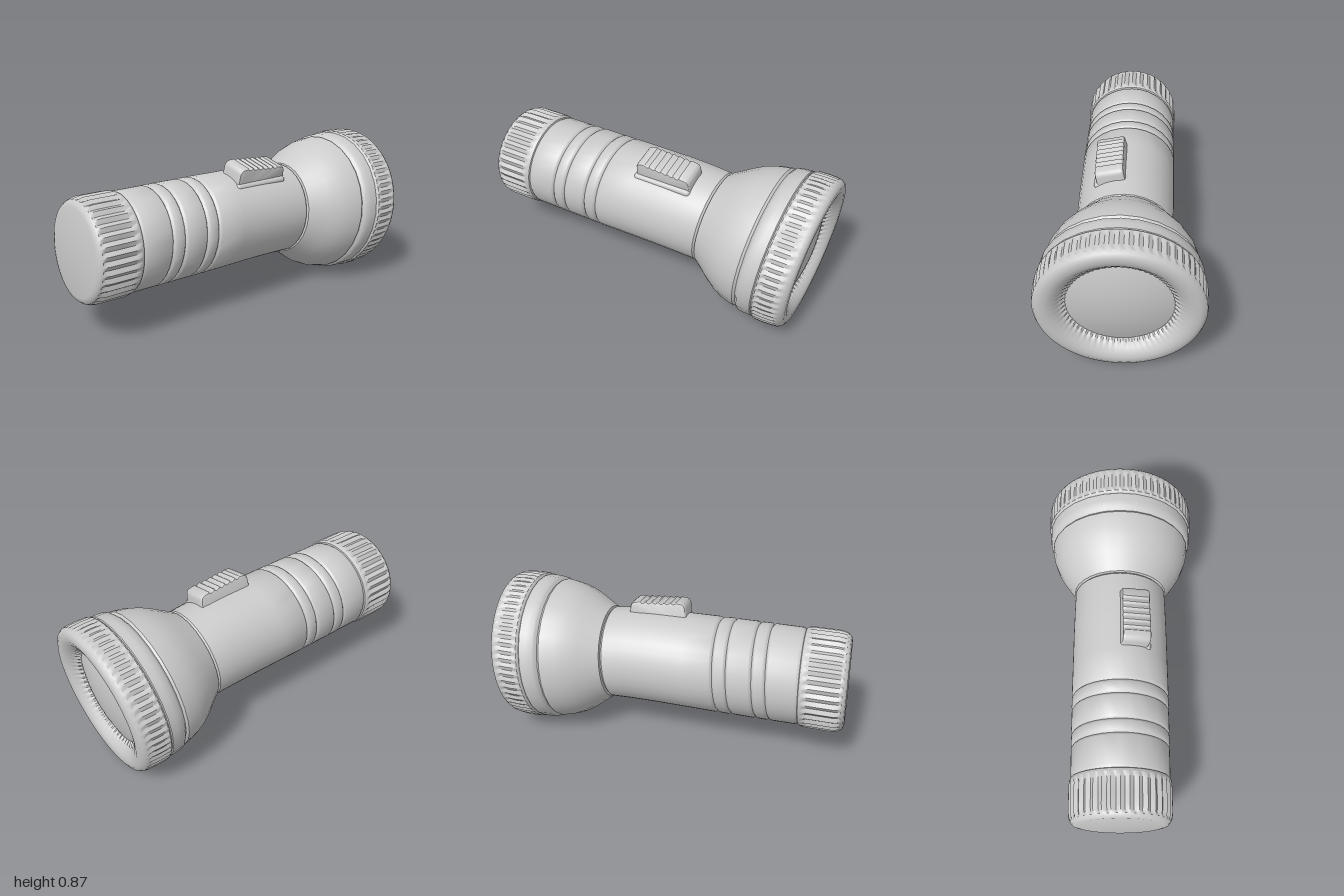
import * as THREE from 'three';
import { toCreasedNormals } from 'three/addons/utils/BufferGeometryUtils.js';
import { RoundedBoxGeometry } from 'three/addons/geometries/RoundedBoxGeometry.js';

const { smoothstep, lerp } = THREE.MathUtils;
const material = new THREE.MeshStandardMaterial({ color: 0xcccccc });

// Height of the centre line and lean of the cross-sections along the torch
const centreY = (z) => lerp(0.468, 0.433, smoothstep(-z, 0.1, 0.75));
const lean = (z) => lerp(0.1, 0.05, smoothstep(z, 0.55, 0.75));

// Turned part: profile of [radius, z] from tail to head, optionally fluted
function turned(name, profile, segments, flute) {
  const points = profile.map(([r, z]) => new THREE.Vector2(r, -z));
  const geometry = new THREE.LatheGeometry(points, segments);
  geometry.rotateX(-Math.PI / 2);
  const p = geometry.attributes.position;
  for (let i = 0; i < p.count; i++) {
    let x = p.getX(i), y = p.getY(i);
    const z = p.getZ(i);
    if (flute && z < flute.to && z > flute.from) {
      const wave = Math.cos(Math.atan2(y, x) * flute.count);
      const k = 1 - flute.depth * (0.5 - 0.5 * wave) / Math.hypot(x, y);
      x *= k;
      y *= k;
    }
    p.setXYZ(i, x, y + centreY(z), z - lean(z) * y);
  }
  const mesh = new THREE.Mesh(toCreasedNormals(geometry, 0.7), material);
  mesh.name = name;
  return mesh;
}

// Sliding thumb switch: side profile with ribs on top, extruded across
function thumbSwitch() {
  const group = new THREE.Group();
  group.name = 'thumbSwitch';

  const side = new THREE.Shape();
  side.moveTo(-0.05, -0.09);
  side.lineTo(-0.04, 0.035);
  side.quadraticCurveTo(-0.035, 0.055, -0.015, 0.057);
  const ribs = 6, step = 0.036;
  for (let i = 0; i < ribs; i++) {
    const a = 0.005 + i * step, h = 0.058 - i * 0.003;
    side.lineTo(a, h);
    side.quadraticCurveTo(a + step * 0.5, h - 0.016, a + step * 0.9, h - 0.002);
  }
  side.lineTo(0.25, 0.036);
  side.quadraticCurveTo(0.263, 0.03, 0.264, 0.01);
  side.lineTo(0.27, -0.09);
  side.closePath();
  const slider = new THREE.ExtrudeGeometry(side, {
    depth: 0.125, bevelSize: 0.01, bevelThickness: 0.015, bevelSegments: 3, curveSegments: 4,
  });
  slider.translate(0, 0, -0.0625);
  slider.rotateY(Math.PI / 2);
  const button = new THREE.Mesh(toCreasedNormals(slider, 0.6), material);
  button.name = 'switchSlider';

  const plate = new THREE.Mesh(new RoundedBoxGeometry(0.195, 0.09, 0.345, 3, 0.02), material);
  plate.name = 'switchPlate';
  plate.position.set(0, -0.062, -0.105);

  group.add(button, plate);
  group.position.set(0.08, 0.733, 0);
  group.rotation.z = -0.21;
  return group;
}

export function createModel() {
  const model = new THREE.Group();
  model.name = 'flashlight';

  // Fluted tail cap
  model.add(turned('tailCap', [
    [0, 0.983], [0.235, 0.983], [0.258, 0.977], [0.27, 0.962], [0.278, 0.945],
    [0.282, 0.92], [0.282, 0.85], [0.282, 0.78], [0.279, 0.75], [0.272, 0.735], [0.255, 0.728],
  ], 144, { count: 36, depth: 0.014, from: 0.76, to: 0.955 }));

  // Barrel with grooves on either side of two raised bands
  const barrel = [[0.255, 0.75], [0.268, 0.725], [0.273, 0.715]];
  for (const z of [0.56, 0.485, 0.345, 0.27]) {
    barrel.push([0.273, z + 0.015], [0.27, z + 0.009], [0.261, z], [0.27, z - 0.009], [0.274, z - 0.015]);
  }
  barrel.push([0.272, 0.1], [0.27, -0.1], [0.267, -0.25], [0.264, -0.36], [0.25, -0.375], [0.25, -0.4]);
  model.add(turned('barrel', barrel, 32));

  // Flared head with a collar and a raised band
  model.add(turned('headBowl', [
    [0.24, -0.37], [0.268, -0.375], [0.278, -0.39], [0.3, -0.425], [0.335, -0.475],
    [0.37, -0.535], [0.392, -0.59], [0.405, -0.65], [0.408, -0.672], [0.399, -0.685],
    [0.411, -0.695], [0.42, -0.705], [0.423, -0.74], [0.424, -0.78], [0.405, -0.795],
  ], 28));

  // Fluted bezel, rolled over the front into the lens recess
  model.add(turned('bezel', [
    [0.4, -0.782], [0.42, -0.786], [0.429, -0.796], [0.432, -0.81], [0.433, -0.86], [0.43, -0.91],
    [0.425, -0.932], [0.414, -0.95], [0.39, -0.961], [0.36, -0.961], [0.33, -0.951],
    [0.305, -0.93], [0.288, -0.908], [0.278, -0.895], [0.262, -0.89],
  ], 240, { count: 60, depth: 0.009, from: -0.925, to: -0.802 }));

  // Gently domed lens
  const lens = [];
  for (let i = 0; i <= 8; i++) {
    const r = 0.28 * (1 - i / 8);
    lens.push([r, -0.89 - 0.045 * (1 - (r / 0.28) ** 2)]);
  }
  model.add(turned('lens', lens, 40));

  model.add(thumbSwitch());
  return model;
}
